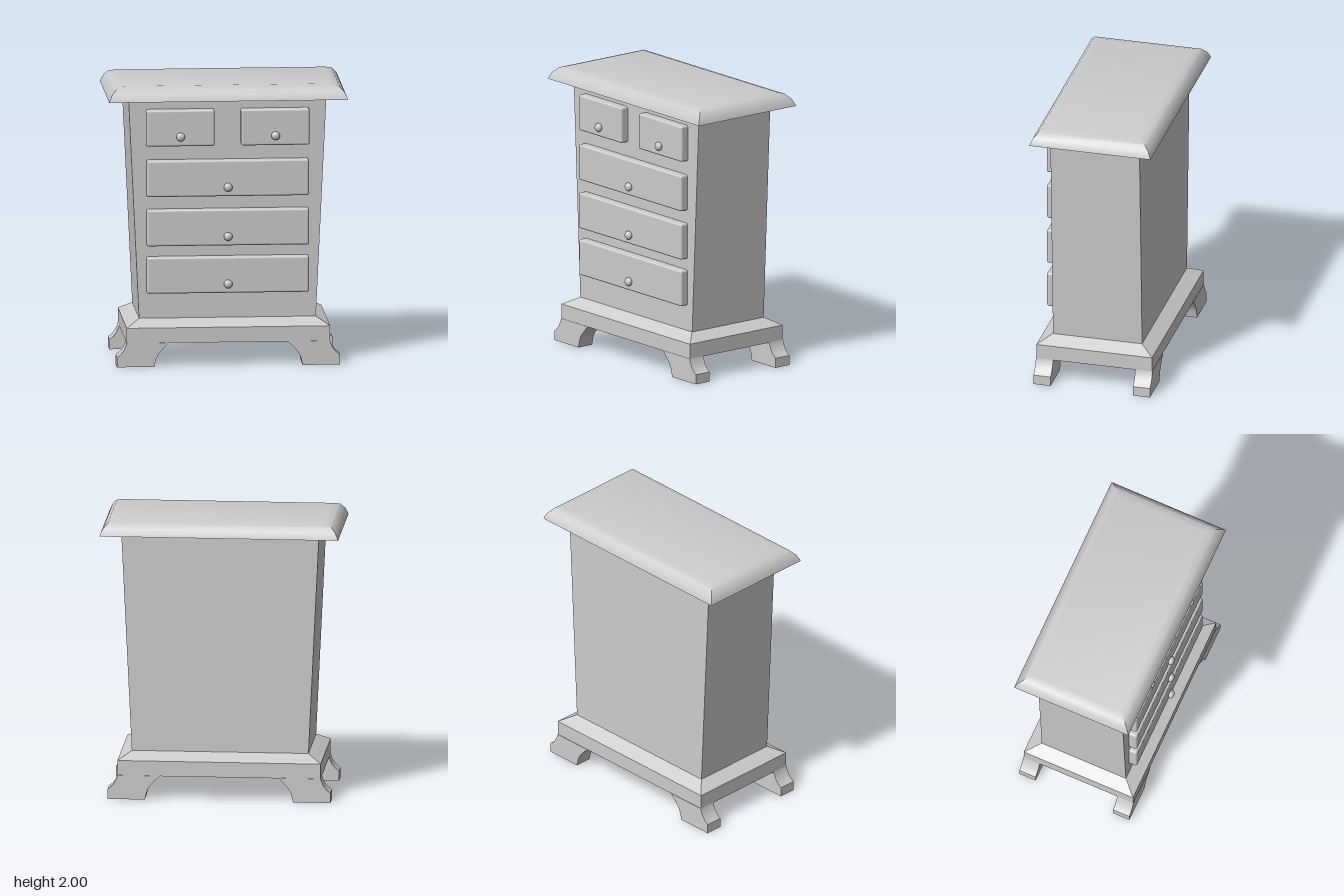
import * as THREE from 'three';
import { toCreasedNormals } from 'three/addons/utils/BufferGeometryUtils.js';
import { RoundedBoxGeometry } from 'three/addons/geometries/RoundedBoxGeometry.js';

const material = new THREE.MeshStandardMaterial({ color: 0xcccccc });

function add(parent, name, geometry, x = 0, y = 0, z = 0) {
  const mesh = new THREE.Mesh(geometry, material);
  mesh.name = name;
  mesh.position.set(x, y, z);
  parent.add(mesh);
  return mesh;
}

// Stacks rectangular sections [halfWidth, y, halfDepth] from bottom to top into a closed solid.
function loft(sections, crease) {
  const positions = [];
  const index = [];
  for (const [w, y, d] of sections) positions.push(w, y, d, w, y, -d, -w, y, -d, -w, y, d);
  for (let s = 0; s < sections.length - 1; s++) {
    for (let i = 0; i < 4; i++) {
      const a = s * 4 + i, b = s * 4 + (i + 1) % 4;
      index.push(a, b, b + 4, a, b + 4, a + 4);
    }
  }
  const t = (sections.length - 1) * 4;
  index.push(t, t + 1, t + 2, t, t + 2, t + 3, 0, 2, 1, 0, 3, 2);
  const geometry = new THREE.BufferGeometry();
  geometry.setAttribute('position', new THREE.Float32BufferAttribute(positions, 3));
  geometry.setIndex(index);
  return toCreasedNormals(geometry, crease);
}

// Rounded drawer front with a small round knob just below its middle
function addDrawer(parent, name, x, y, width, knobY) {
  const drawer = new THREE.Group();
  drawer.name = name;
  add(drawer, 'drawerFront', new RoundedBoxGeometry(width, 0.26, 0.1, 3, 0.015), x, y, 0.335);
  const profile = [[0.025, -0.003], [0.031, 0.008], [0.03, 0.018], [0.023, 0.027], [0.012, 0.032], [0, 0.034]];
  const knob = new THREE.LatheGeometry(profile.map(p => new THREE.Vector2(...p)), 20);
  add(drawer, 'knob', knob.rotateX(Math.PI / 2), x, knobY, 0.385);
  parent.add(drawer);
}

export function createModel() {
  const model = new THREE.Group();
  model.name = 'chestOfDrawers';

  // Top board with rounded-over edges
  const edge = [[0, 1.9], [0.005, 1.915], [0.022, 1.95], [0.055, 1.985], [0.105, 2]];
  add(model, 'topBoard', loft(edge.map(([inset, y]) => [0.845 - inset, y, 0.442 - inset]), 0.55));

  // Cabinet widening toward the top
  add(model, 'cabinet', loft([[0.625, 0.32, 0.325], [0.7, 1.9, 0.325]], 0.3));

  // Plinth with a sloped shoulder
  add(model, 'plinth', loft([[0.72, 0.17, 0.422], [0.72, 0.278, 0.422], [0.625, 0.332, 0.325]], 0.4));

  // Bracket feet: curved profile extruded front to back, one at each corner
  const outline = [
    [0.42, 0.172], [0.46, 0.132], [0.495, 0.092], [0.512, 0.055], [0.525, 0], [0.79, 0],
    [0.79, 0.07], [0.762, 0.092], [0.74, 0.12], [0.724, 0.155], [0.72, 0.172],
  ];
  for (const side of [1, -1]) {
    const points = outline.map(([x, y]) => new THREE.Vector2(x * side, y));
    const shape = new THREE.Shape(points);
    for (const end of [1, -1]) {
      const foot = new THREE.ExtrudeGeometry(shape, { depth: 0.125, bevelEnabled: false });
      const name = (end > 0 ? 'front' : 'back') + (side > 0 ? 'Left' : 'Right') + 'Foot';
      add(model, name, toCreasedNormals(foot, 0.5), 0, 0, end > 0 ? 0.3 : -0.425);
    }
  }

  // Two small drawers above three full-width drawers
  addDrawer(model, 'smallDrawerLeft', 0.336, 1.7, 0.484, 1.64);
  addDrawer(model, 'smallDrawerRight', -0.336, 1.7, 0.484, 1.64);
  [[1.338, 1.275], [0.985, 0.922], [0.645, 0.582]].forEach(([y, knobY], i) => {
    addDrawer(model, 'wideDrawer' + (i + 1), 0, y, 1.148, knobY);
  });

  return model;
}
